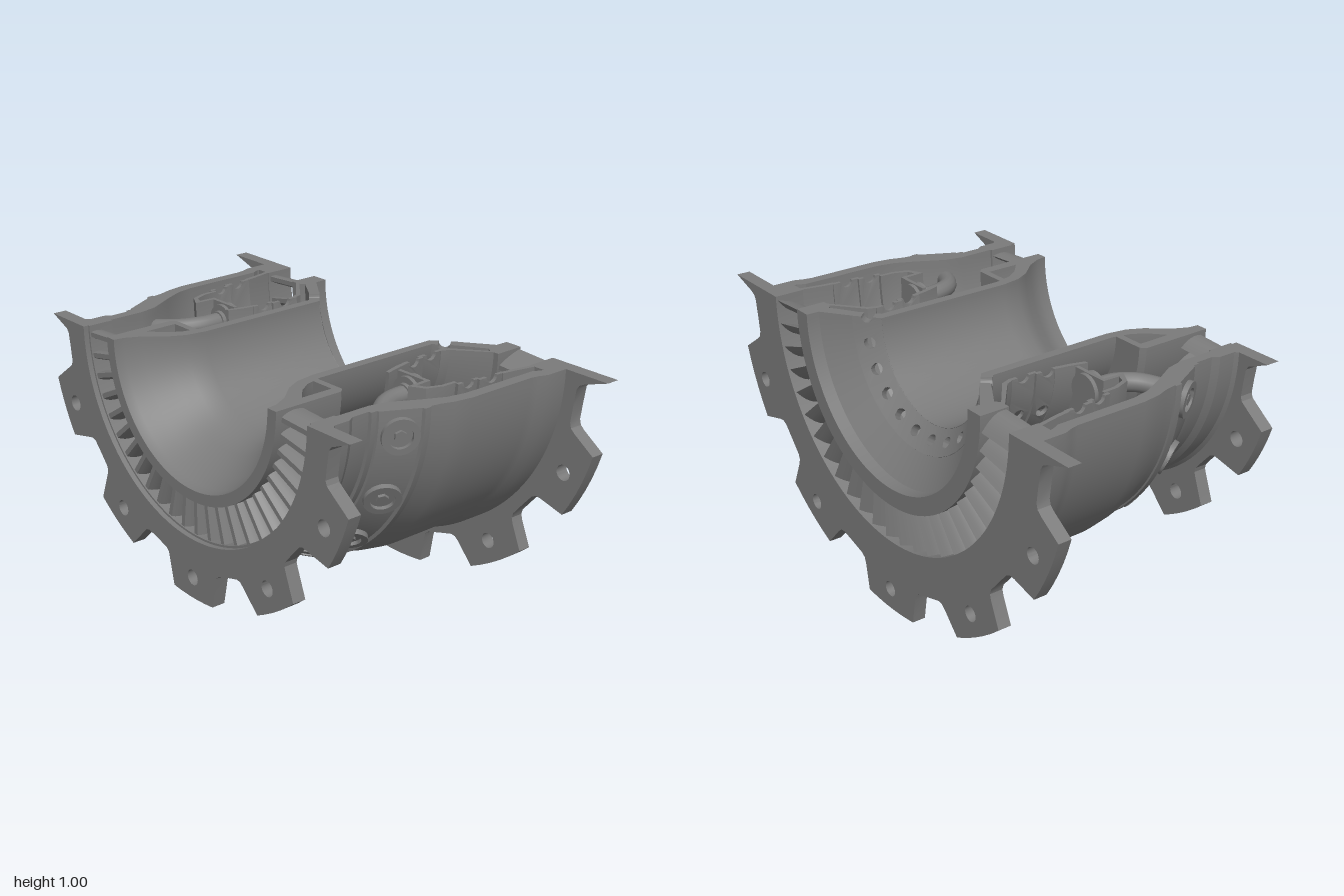
import * as THREE from 'three';
import { mergeGeometries, toCreasedNormals } from 'three/addons/utils/BufferGeometryUtils.js';

const AXIS_Y = 1;
const rad = THREE.MathUtils.degToRad;
const darkGrey = new THREE.MeshStandardMaterial({ color: 0x7b7b7b });
const crease = (g) => toCreasedNormals(g, 0.45);

function add(parent, name, geometry) {
  const mesh = new THREE.Mesh(geometry, darkGrey);
  mesh.name = name;
  parent.add(mesh);
  return mesh;
}

// Half-revolved solid from a closed [x, radius] section, with its two cut faces
function halfRing(parent, name, section) {
  const pts = section.map(([x, r]) => new THREE.Vector2(r, x));
  if (THREE.ShapeUtils.area(pts) < 0) pts.reverse();
  pts.push(pts[0].clone());
  const lathe = new THREE.LatheGeometry(pts, 72, 0, Math.PI);
  lathe.rotateZ(-Math.PI / 2);
  const parts = [lathe.toNonIndexed()];
  for (const s of [1, -1]) {
    const cut = new THREE.ShapeGeometry(new THREE.Shape(section.map(([x, r]) => new THREE.Vector2(x, s * r))));
    cut.rotateX(-Math.PI / 2);
    parts.push(cut.toNonIndexed());
  }
  const g = crease(mergeGeometries(parts));
  g.translate(0, AXIS_Y, 0);
  add(parent, name, g);
}

// Half flange with scalloped rim and bolt holes
function flange(parent, name, x, depth, inner, R, tipHalf) {
  const polar = (deg, r) => new THREE.Vector2(r * Math.sin(rad(deg)), -r * Math.cos(rad(deg)));
  const step = 360 / 11;
  const pts = [];
  for (let k = -3; k < 3; k++) {
    const c = (k + 0.5) * step;
    for (const [a, d] of [[-tipHalf, 0], [-6.1, 0.1], [-5.4, 0.12], [-4.2, 0.13], [0, 0.133],
      [4.2, 0.13], [5.4, 0.12], [6.1, 0.1], [tipHalf, 0]]) {
      const over = Math.abs(c + a) > 90.05;
      pts.push(polar(THREE.MathUtils.clamp(c + a, -90, 90), over ? R - 0.035 : R - d));
    }
    if (k < 2) for (let i = 1; i < 5; i++) pts.push(polar(c + tipHalf + (step - 2 * tipHalf) * i / 5, R));
  }
  for (let i = 0; i <= 72; i++) pts.push(polar(90 - i * 2.5, inner));
  const shape = new THREE.Shape(pts);
  for (let k = -2; k <= 2; k++) {
    const p = polar(k * step, R - 0.083);
    shape.holes.push(new THREE.Path().absarc(p.x, p.y, 0.03, 0, Math.PI * 2, true));
  }
  const g = new THREE.ExtrudeGeometry(shape, { depth, bevelEnabled: false, curveSegments: 10 });
  g.rotateY(Math.PI / 2);
  g.translate(x, AXIS_Y, 0);
  add(parent, name, crease(g));
}

// Conical half shell pierced by a row of holes, bent from flat half-sectors
function perforated(parent, name, [x0, r0], [x1, r1], thick, count, hole) {
  const L = Math.hypot(x1 - x0, r1 - r0), dx = (x1 - x0) / L, dr = (r1 - r0) / L;
  const rm = (r0 + r1) / 2, da = Math.PI / count, W = da * rm;
  const parts = [];
  for (let i = 0; i < count; i++) {
    const s = new THREE.Shape();
    s.moveTo(0, 0);
    s.lineTo(W, 0);
    if (i % 2) {
      s.lineTo(W, L / 2 - hole);
      s.absarc(W, L / 2, hole, -Math.PI / 2, Math.PI / 2, true);
    }
    s.lineTo(W, L);
    s.lineTo(0, L);
    if (i % 2 === 0) {
      s.lineTo(0, L / 2 + hole);
      s.absarc(0, L / 2, hole, Math.PI / 2, -Math.PI / 2, true);
    }
    const g = new THREE.ExtrudeGeometry(s, { depth: thick, bevelEnabled: false, curveSegments: 10 });
    const p = g.attributes.position;
    for (let j = 0; j < p.count; j++) {
      const a = Math.PI / 2 - i * da - p.getX(j) / rm;
      const v = p.getY(j), w = p.getZ(j);
      const r = r0 + dr * v + dx * w;
      p.setXYZ(j, x0 + dx * v - dr * w, AXIS_Y - r * Math.cos(a), r * Math.sin(a));
    }
    parts.push(g);
  }
  add(parent, name, crease(mergeGeometries(parts)));
}

// Pivot on the engine axis; inside it, outward is -y
function spoke(parent, name, deg) {
  const pivot = new THREE.Group();
  pivot.name = name;
  pivot.position.y = AXIS_Y;
  pivot.rotation.x = -rad(deg);
  parent.add(pivot);
  return pivot;
}

// Row of curved vanes between two radii
function vaneRow(parent, name, count, x0, x1, r0, r1, sweep) {
  const w = x1 - x0;
  const s = new THREE.Shape();
  s.moveTo(x0, -sweep);
  s.quadraticCurveTo(x0 + w * 0.55, -sweep - 0.012, x1, sweep);
  s.quadraticCurveTo(x0 + w * 0.4, -sweep + 0.042, x0, -sweep + 0.018);
  s.closePath();
  const g = new THREE.ExtrudeGeometry(s, { depth: r1 - r0, bevelEnabled: false, curveSegments: 6 });
  g.rotateX(Math.PI / 2);
  g.translate(0, -r0, 0);
  const geo = crease(g);
  for (let i = 0; i < count; i++) add(spoke(parent, name, -90 + 180 / count * (i + 0.5)), name, geo);
}

export function createModel() {
  const model = new THREE.Group();
  model.name = 'annularCombustorHalf';

  // Outer casing with a raised injector band, and its end flanges
  halfRing(model, 'outerCasing', [[-0.48, 0.63], [-0.48, 0.7], [-0.465, 0.686], [-0.4, 0.685], [-0.375, 0.67],
    [-0.305, 0.67], [-0.303, 0.682], [-0.28, 0.682], [-0.278, 0.69], [-0.15, 0.756], [-0.147, 0.768],
    [-0.121, 0.768], [-0.119, 0.762], [-0.08, 0.768],
    [-0.03, 0.785], [0.04, 0.796], [0.32, 0.796], [0.35, 0.802], [0.385, 0.815], [0.476, 0.816],
    [0.476, 0.77], [0.4, 0.77], [0.37, 0.755], [0.05, 0.752], [-0.02, 0.738], [-0.1, 0.7],
    [-0.2, 0.645], [-0.27, 0.63]]);
  flange(model, 'frontFlange', -0.53, 0.053, 0.63, 0.867, 8.8);
  flange(model, 'rearFlange', 0.474, 0.052, 0.771, 1, 8.18);

  // Inner hub: bore, short upper sleeve closing a pocket, pierced cone and rear rim
  halfRing(model, 'hubBore', [[-0.53, 0.435], [-0.49, 0.43], [-0.43, 0.4], [-0.36, 0.34], [-0.3, 0.31],
    [-0.22, 0.297], [0.33, 0.3], [0.305, 0.335], [-0.22, 0.335], [-0.29, 0.352], [-0.34, 0.385],
    [-0.39, 0.44], [-0.53, 0.445]]);
  halfRing(model, 'hubSleeve', [[-0.53, 0.435], [-0.53, 0.478], [-0.25, 0.478], [-0.232, 0.46], [-0.232, 0.32],
    [-0.258, 0.32], [-0.258, 0.437]]);
  perforated(model, 'piercedCone', [0.328, 0.3], [0.4, 0.385], 0.04, 22, 0.022);
  halfRing(model, 'rearHubRim', [[0.395, 0.38], [0.475, 0.49], [0.525, 0.492], [0.525, 0.56], [0.41, 0.56],
    [0.41, 0.52], [0.425, 0.5], [0.365, 0.407]]);

  // Guide vanes and their outer shrouds
  halfRing(model, 'rearShroud', [[0.41, 0.71], [0.526, 0.71], [0.526, 0.772], [0.41, 0.772]]);
  halfRing(model, 'frontShroud', [[-0.51, 0.622], [-0.41, 0.622], [-0.405, 0.65], [-0.51, 0.65]]);
  vaneRow(model, 'rearVane', 25, 0.42, 0.518, 0.555, 0.715, 0.028);
  vaneRow(model, 'frontVane', 25, -0.505, -0.415, 0.475, 0.626, 0.014);

  // Combustor liner: dome, stepped walls and pierced panels
  halfRing(model, 'linerDome', [[0.03, 0.45], [0.03, 0.58], [-0.05, 0.585], [-0.02, 0.64], [0.04, 0.662], [0.1, 0.664],
    [0.1, 0.65], [0.045, 0.648], [-0.008, 0.628], [-0.02, 0.598], [0.045, 0.595], [0.045, 0.45]]);
  halfRing(model, 'innerDomeLip', [[-0.01, 0.45], [0.06, 0.432], [0.11, 0.422], [0.11, 0.407], [0.05, 0.417], [-0.01, 0.435]]);
  for (const [name, a, b] of [
    ['outerLinerPanel', [0.09, 0.668], [0.185, 0.674]], ['outerLinerPanel', [0.175, 0.684], [0.29, 0.688]],
    ['innerLinerPanel', [0.09, 0.408], [0.185, 0.404]], ['innerLinerPanel', [0.175, 0.394], [0.29, 0.392]],
  ]) perforated(model, name, a, b, 0.014, 16, 0.024);
  halfRing(model, 'outerLinerExit', [[0.28, 0.69], [0.33, 0.697], [0.42, 0.716], [0.42, 0.732], [0.33, 0.713], [0.28, 0.706]]);
  halfRing(model, 'innerLinerExit', [[0.28, 0.392], [0.32, 0.405], [0.42, 0.53], [0.42, 0.55], [0.31, 0.42], [0.28, 0.407]]);

  // Fuel injectors: casing boss, bolt, elbow pipe and swirl cup
  const v2 = (list) => list.map(([a, b]) => new THREE.Vector2(a, b));
  const bossGeo = crease(new THREE.LatheGeometry(v2([[0.066, -0.03], [0.066, 0.018],
    [0.043, 0.018], [0.043, 0.004], [0, 0.004]]), 28));
  const boltGeo = crease(new THREE.CylinderGeometry(0.022, 0.022, 0.03, 6));
  const elbow = new THREE.CatmullRomCurve3([[-0.215, 0.7], [-0.19, 0.63], [-0.14, 0.56], [-0.07, 0.523], [0.035, 0.515]]
    .map(([x, r]) => new THREE.Vector3(x, -r, 0)));
  const pipeGeo = new THREE.TubeGeometry(elbow, 24, 0.034, 14);
  const cupGeo = crease(new THREE.LatheGeometry(v2([[0, -0.005], [0.04, -0.005], [0.04, 0.01], [0.062, 0.01],
    [0.062, 0.025], [0.05, 0.025], [0.05, 0.04], [0.062, 0.04], [0.062, 0.06], [0, 0.06]]), 24));
  cupGeo.rotateZ(-Math.PI / 2);
  cupGeo.translate(0, -0.515, 0);
  for (let i = -4; i <= 4; i++) {
    const injector = spoke(model, 'fuelInjector', 20.7 * i);
    const boss = new THREE.Group();
    boss.name = 'injectorBoss';
    boss.position.set(-0.21, -0.723, 0);
    boss.rotation.z = Math.PI - 0.49;
    injector.add(boss);
    add(boss, 'bossRing', bossGeo);
    add(boss, 'bossBolt', boltGeo);
    add(injector, 'elbowPipe', pipeGeo);
    add(injector, 'swirlCup', cupGeo);
  }
  return model;
}
